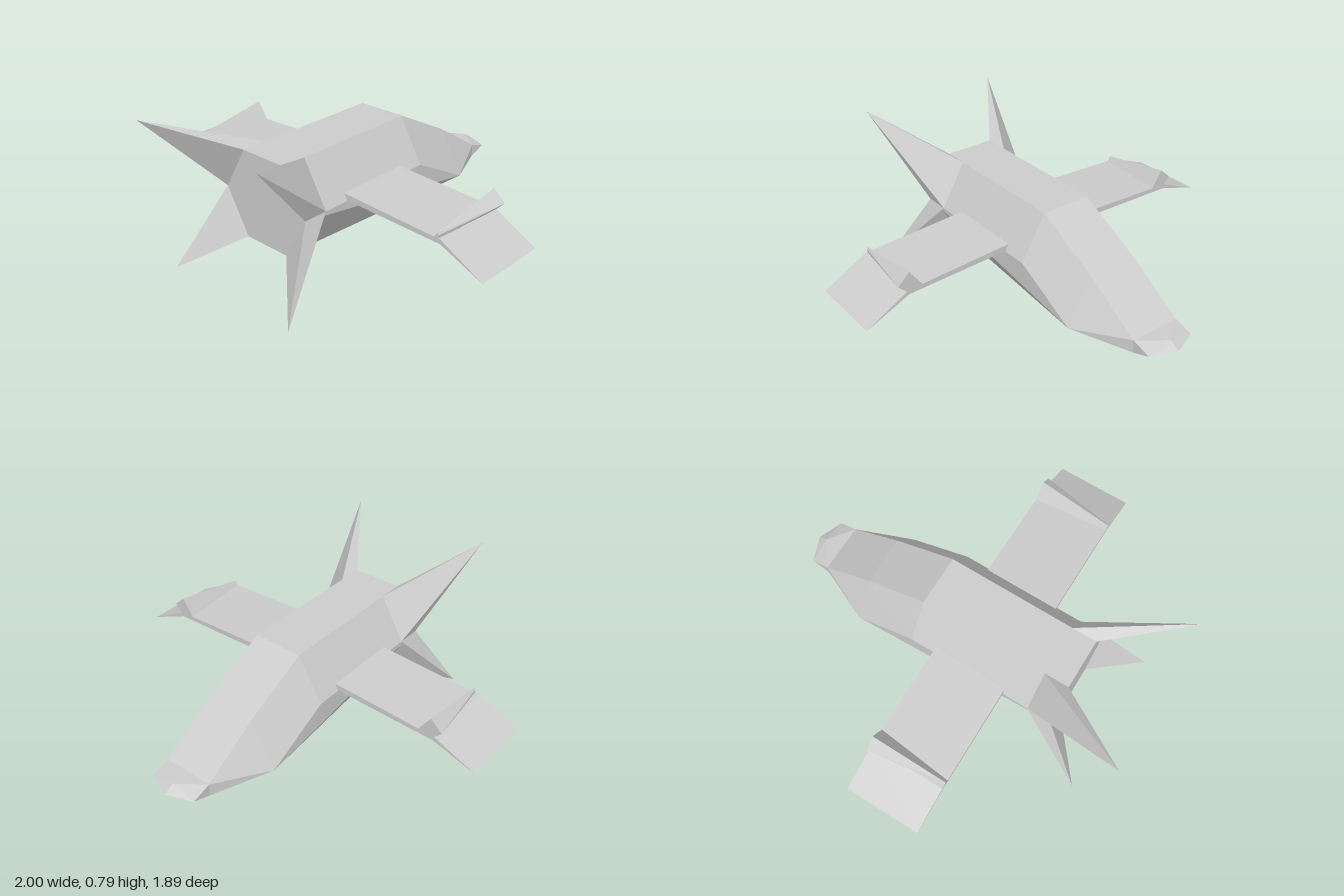
import * as THREE from 'three';
import { ConvexGeometry } from 'three/addons/geometries/ConvexGeometry.js';

const material = new THREE.MeshStandardMaterial({ color: 0xcccccc, flatShading: true });

// Faceted solid spanned by a handful of corners
function solid(name, corners) {
  const geometry = new ConvexGeometry(corners.map((c) => new THREE.Vector3(...c)));
  const mesh = new THREE.Mesh(geometry, material);
  mesh.name = name;
  return mesh;
}

// Six-sided hull section: flat top and bottom, pointed sides
function ring(z, topY, sideX, sideY, bottomY) {
  return [-1, 1].flatMap((s) => [
    [s * 0.127, topY, z], [s * sideX, sideY, z], [s * 0.127, bottomY, z],
  ]);
}

// Corners of an x/y outline repeated at two depths
function slab(outline, z0, z1) {
  return outline.flatMap(([x, y]) => [[x, y, z0], [x, y, z1]]);
}

export function createModel() {
  const group = new THREE.Group();
  group.name = 'spacecraft';

  // Hull, tapering toward the nose
  const hull = new THREE.Group();
  hull.name = 'hull';
  hull.position.x = 0.003;
  const noseRing = ring(-0.805, 0.255, 0.127, 0.225, 0.19);
  hull.add(solid('fuselage', [
    ...ring(0.58, 0.605, 0.255, 0.387, 0.167),
    ...ring(-0.195, 0.605, 0.255, 0.387, 0.167),
    ...ring(-0.525, 0.435, 0.255, 0.213, 0.167),
    ...noseRing,
  ]));
  hull.add(solid('nose', [
    ...noseRing,
    [-0.127, 0.225, -0.9], [0.127, 0.225, -0.9],
    [0, 0.253, -0.9], [0, 0.195, -0.9], [0, 0.225, -0.95],
  ]));
  group.add(hull);

  for (const s of [-1, 1]) {
    const side = s > 0 ? 'left' : 'right';
    const mirror = (corners) => corners.map(([x, y, z]) => [s * x, y, z]);

    // Spiked tail fins growing out of the slanted hull faces
    for (const [level, baseY, apexY, apexZ] of [['Upper', 0.605, 0.785, 0.945], ['Lower', 0.167, 0, 0.815]]) {
      hull.add(solid(side + level + 'Fin', mirror([
        ...slab([[0.127, baseY], [0.255, 0.387]], 0.455, 0.58),
        [0.38, apexY, apexZ],
      ])));
    }

    // Wing with a drooping outer panel
    const front = 0.32, back = -0.065;
    const tipY = s > 0 ? 0.275 : 0.303;
    group.add(solid(side + 'Wing', mirror(
      slab([[0.235, 0.42], [0.235, 0.39], [0.78, 0.372], [0.78, 0.394]], front, back))));
    group.add(solid(side + 'WingTip', mirror(
      slab([[0.78, 0.394], [0.78, 0.372], [1, tipY]], front, back))));

    // Wedge on the wing crease, widening toward the nose end
    const shift = s > 0 ? 0 : -0.012;
    group.add(solid(side + 'WingWedge', mirror([
      ...[[0.71, 0.398], [0.77, 0.485], [0.83, 0.43], [0.79, 0.39]].map(([x, y]) => [x + shift, y, back]),
      ...[[0.747, 0.396], [0.763, 0.42], [0.77, 0.41], [0.768, 0.394]].map(([x, y]) => [x + shift, y, front]),
    ])));
  }
  return group;
}
